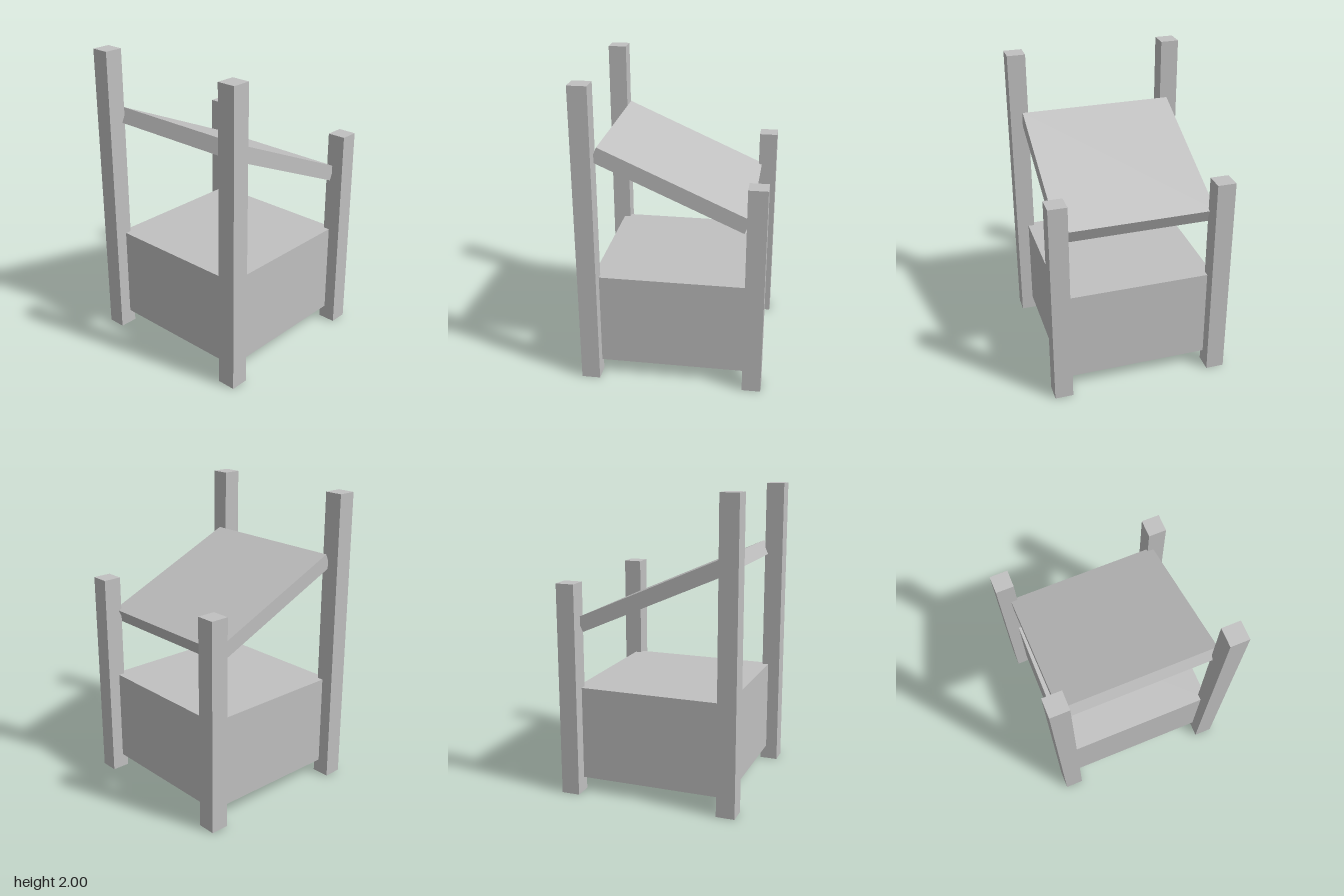
import * as THREE from 'three';

export function createModel() {
  const model = new THREE.Group();
  const grey = new THREE.MeshStandardMaterial({ color: 0xc0c0c0 });
  grey.name = 'light grey';

  const addBox = (name, w, h, d, x, y, z) => {
    const mesh = new THREE.Mesh(new THREE.BoxGeometry(w, h, d), grey);
    mesh.name = name;
    mesh.position.set(x, y, z);
    model.add(mesh);
    return mesh;
  };

  // Corner posts: tall pair on the right, short pair on the left
  const post = 0.122, offset = 0.536;
  for (const [side, sx, height] of [['right', -1, 2], ['left', 1, 1.41]]) {
    for (const [end, sz] of [['Front', 1], ['Back', -1]]) {
      addBox(`${side}${end}Post`, post, height, post, sx * offset, height / 2, sz * offset);
    }
  }

  // Square body held between the posts, clear of the ground
  addBox('body', 1.034, 0.62, 1.034, 0, 0.405, 0);

  // Slab roof sloping down to the short posts
  const roof = addBox('roof', 1.04, 0.1, 1.034, 0, 1.346, 0);
  roof.rotation.z = -0.416;

  return model;
}
